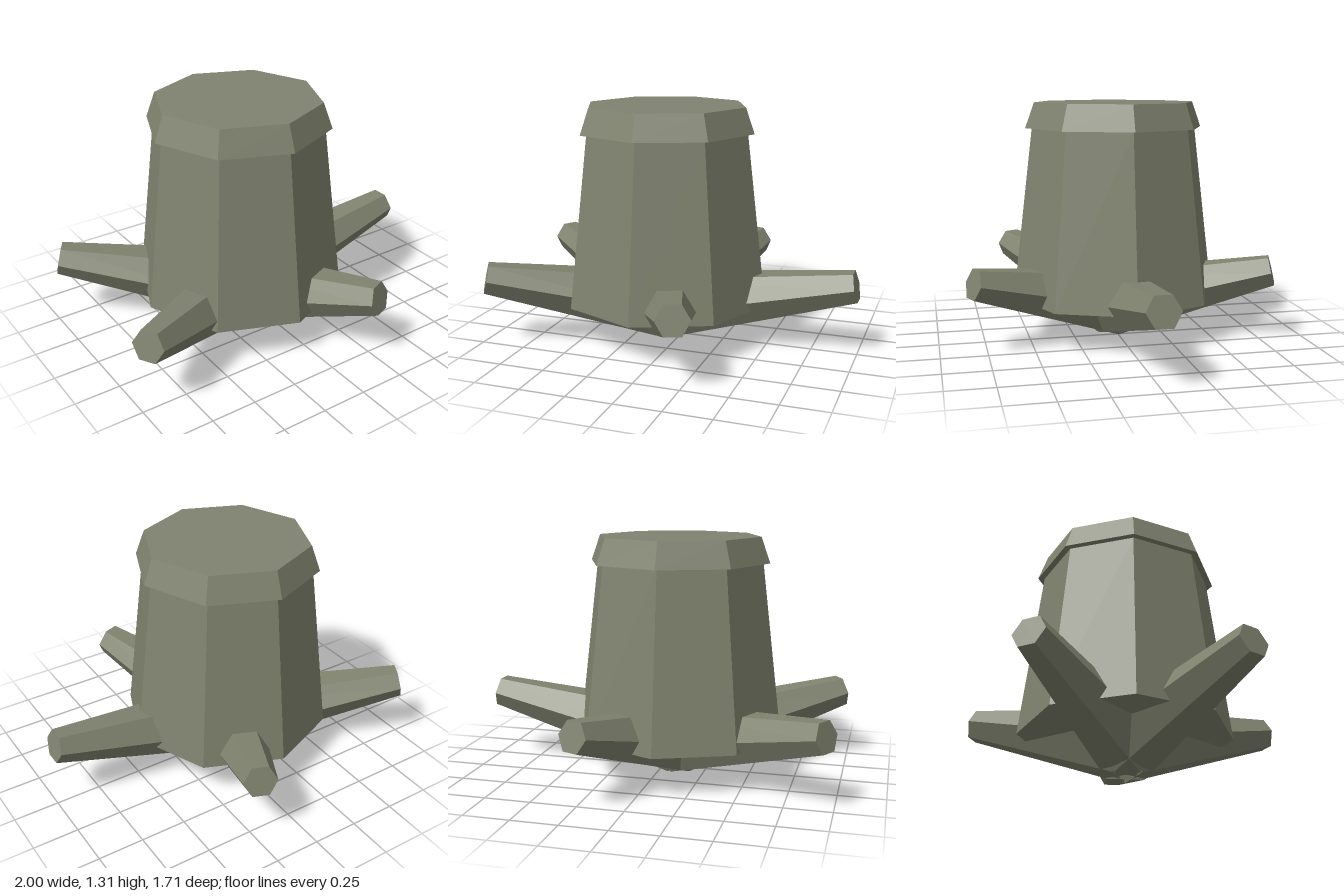
import * as THREE from 'three';

const AXIS_X = -0.09; // trunk axis

export function createModel() {
  const model = new THREE.Group();
  model.name = 'treeStump';
  const bark = new THREE.MeshStandardMaterial({ color: 0x80836f, flatShading: true });
  bark.name = 'greyGreenBark';

  const add = (name, geometry) => {
    const mesh = new THREE.Mesh(geometry, bark);
    mesh.name = name;
    model.add(mesh);
    return mesh;
  };

  // Octagonal ring section between two heights
  const octagon = (name, topRadius, bottomRadius, y0, y1) =>
    add(name, new THREE.CylinderGeometry(topRadius, bottomRadius, y1 - y0, 8))
      .position.set(AXIS_X, (y0 + y1) / 2, 0);

  octagon('trunk', 0.464, 0.577, 0.225, 1.17);
  octagon('topRim', 0.45, 0.5, 1.17, 1.31);

  // Tapered hexagonal roots fan out from one point and rise to their tips
  const start = new THREE.Vector3(AXIS_X, 0.172, 0);
  const addRoot = (name, x, z) => {
    const d = new THREE.Vector3(x, 0.385, z).sub(start);
    const length = d.length();
    const geometry = new THREE.CylinderGeometry(0.09, 0.2, length, 6);
    geometry.translate(0, length / 2, 0);
    geometry.rotateZ(Math.asin(d.y / length) - Math.PI / 2);
    geometry.rotateY(-Math.atan2(d.z, d.x));
    add(name, geometry).position.copy(start);
  };

  addRoot('leftRoot', 0.983, 0);
  for (const [side, s] of [['front', 1], ['back', -1]]) {
    addRoot(side + 'Root', 0.24, 0.82 * s);
    addRoot(side + 'RightRoot', -0.955, 0.51 * s);
  }

  return model;
}
